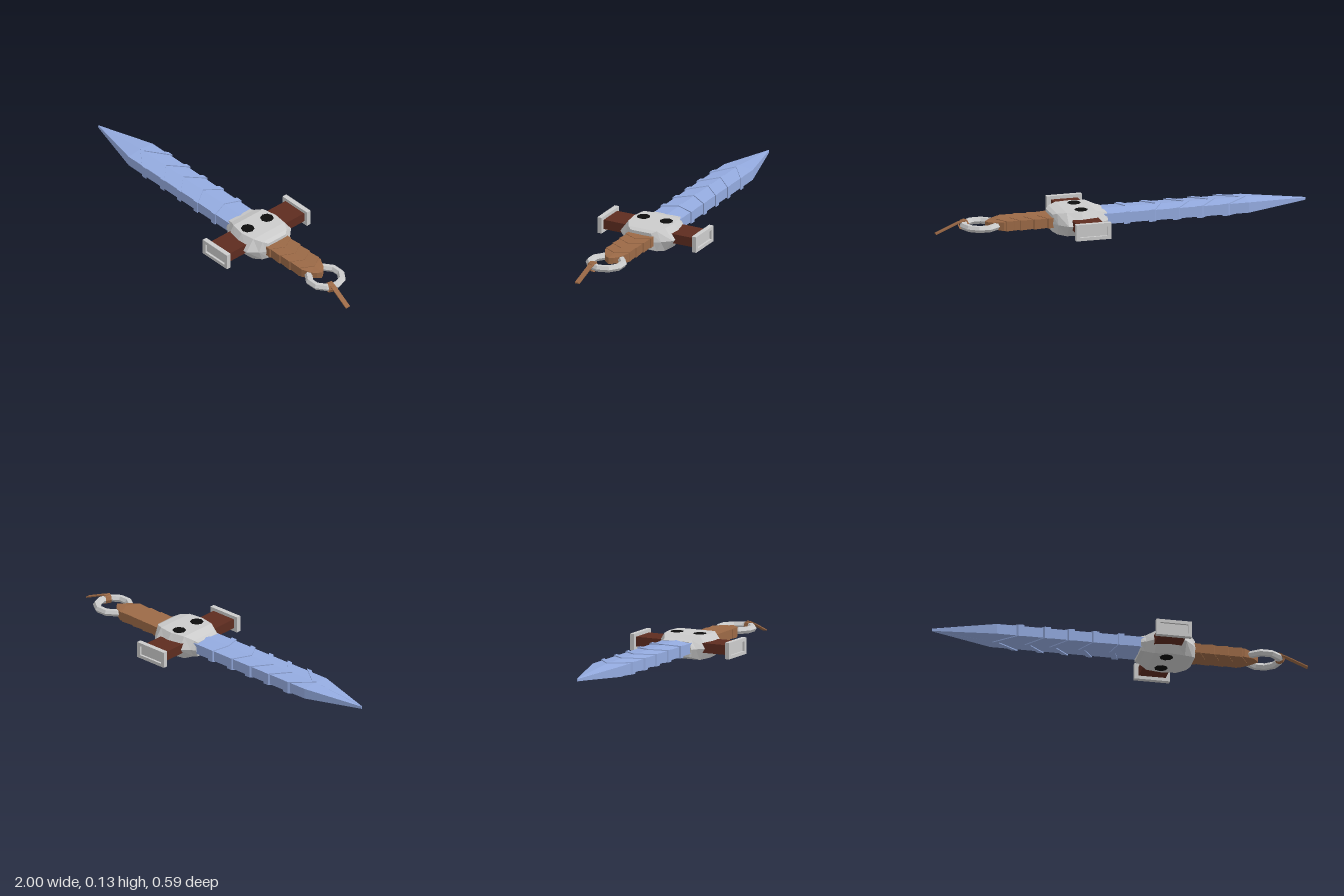
import * as THREE from 'three';

const mat = (color) => new THREE.MeshStandardMaterial({ color, flatShading: true, side: THREE.DoubleSide });
const grey = mat(0xcccccc), blue = mat(0x94abe0), leather = mat(0x9b6946), darkWood = mat(0x5e2c20), black = mat(0x0c0c0c);
const MID = 0.067;

function add(parent, name, geometry, material, x = 0, y = 0, z = 0) {
  const mesh = new THREE.Mesh(geometry, material);
  mesh.name = name;
  mesh.position.set(x, y, z);
  parent.add(mesh);
  return mesh;
}

// Skins a list of equal-length sections running towards +x, closing both ends
function loft(sections) {
  const n = sections[0].length, out = [];
  const tri = (a, b, c) => out.push(...a, ...b, ...c);
  const centre = (s) => s[0].map((v, k) => (v + s[n / 2][k]) / 2);
  const last = sections[sections.length - 1];
  for (let j = 0; j < n; j++) {
    const k = (j + 1) % n;
    for (let i = 0; i + 1 < sections.length; i++) {
      const a = sections[i], b = sections[i + 1];
      tri(a[j], a[k], b[k]);
      tri(a[j], b[k], b[j]);
    }
    tri(centre(sections[0]), sections[0][k], sections[0][j]);
    tri(centre(last), last[j], last[k]);
  }
  const g = new THREE.BufferGeometry();
  g.setAttribute('position', new THREE.Float32BufferAttribute(out, 3));
  g.computeVertexNormals();
  return g;
}

// Six-sided section: half width w, ridge height h, edge height e; lean moves the ridge along x
function ridged(x, w, h, e, lean = 0, y = MID, z = 0) {
  return [[0, h], [w, e], [w, -e], [0, -h], [-w, -e], [-w, e]]
    .map(([dz, dy]) => [x + lean * (1 - Math.abs(dz) / w), y + dy, z + dz]);
}

// Flat-topped section with pointed sides for the skull
function skullSection(x, w, flat, h) {
  return [[flat, h], [w, 0], [flat, -h], [-flat, -h], [-w, 0], [-flat, h]]
    .map(([z, y]) => [x, 0.0635 + y, z]);
}

function makeBlade() {
  const blade = new THREE.Group();
  blade.name = 'blade';
  add(blade, 'bladeBody', loft([
    ridged(-1, 0.002, 0.008, 0.006, 0, 0.07),
    ridged(-0.67, 0.085, 0.036, 0.028, 0, 0.07),
    ridged(0.16, 0.085, 0.036, 0.028, 0, 0.07),
  ]), blue);
  // Raised chevron bands, flatter towards the guard
  [[-0.555, 0.12], [-0.415, 0.09], [-0.285, 0.085], [-0.155, 0.06], [-0.02, 0.03]].forEach(([x, lean]) => {
    add(blade, 'bladeBand', loft([
      ridged(x, 0.093, 0.041, 0.033, -lean, 0.07),
      ridged(x + 0.032, 0.093, 0.041, 0.033, -lean, 0.07),
    ]), blue);
  });
  return blade;
}

function makeSkull() {
  const skull = new THREE.Group();
  skull.name = 'skullGuard';
  add(skull, 'skull', loft([
    skullSection(0.10, 0.092, 0.075, 0.040),
    skullSection(0.125, 0.105, 0.08, 0.046),
    skullSection(0.17, 0.145, 0.105, 0.0635),
    skullSection(0.25, 0.162, 0.12, 0.0635),
    skullSection(0.33, 0.157, 0.11, 0.0635),
    skullSection(0.375, 0.11, 0.085, 0.056),
    skullSection(0.395, 0.075, 0.06, 0.046),
  ]), grey);
  // Eye sockets on both faces
  for (const z of [-0.068, 0.068]) {
    add(skull, 'eyeSocket', new THREE.CylinderGeometry(0.036, 0.036, 0.129, 8), black, 0.24, 0.0635, z);
  }
  return skull;
}

function makeGuardArm(side) {
  const arm = new THREE.Group();
  arm.name = side > 0 ? 'frontGuardArm' : 'backGuardArm';
  add(arm, 'armBar', new THREE.BoxGeometry(0.145, 0.052, 0.19), darkWood, 0.235, MID, side * 0.18);
  // End plate with a sunken panel
  const frame = new THREE.Shape([[-0.095, -0.044], [0.095, -0.044], [0.095, 0.044], [-0.095, 0.044]]
    .map((p) => new THREE.Vector2(...p)));
  frame.holes.push(new THREE.Path([[-0.075, -0.026], [-0.075, 0.026], [0.075, 0.026], [0.075, -0.026]]
    .map((p) => new THREE.Vector2(...p))));
  const plate = new THREE.ExtrudeGeometry(frame, { depth: 0.026, bevelEnabled: false });
  plate.translate(0, 0, -0.013);
  add(arm, 'endPlate', plate, grey, 0.235, MID, side * 0.282);
  add(arm, 'endPanel', new THREE.BoxGeometry(0.152, 0.054, 0.012), grey, 0.235, MID, side * 0.277);
  return arm;
}

function makeGrip() {
  const grip = new THREE.Group();
  grip.name = 'grip';
  // Overlapping chevron wraps
  for (let i = 0; i < 4; i++) {
    const x = 0.34 + i * 0.075, w = 0.076 - i * 0.002;
    add(grip, 'gripWrap', loft([
      ridged(x, w - 0.004, 0.0245, 0.0245, 0.04),
      ridged(x + 0.08, w, 0.027, 0.027, 0.04),
    ]), leather);
  }
  // Tapered tail that holds the ring
  add(grip, 'gripTail', loft([
    ridged(0.6, 0.068, 0.024, 0.024),
    ridged(0.66, 0.068, 0.024, 0.024, 0.02),
    ridged(0.71, 0.042, 0.02, 0.018, 0.015),
    ridged(0.73, 0.022, 0.018, 0.016, 0.015),
  ]), leather);
  return grip;
}

function makePommel() {
  const pommel = new THREE.Group();
  pommel.name = 'pommel';
  const ring = new THREE.TorusGeometry(0.089, 0.021, 6, 10);
  ring.rotateX(Math.PI / 2);
  ring.scale(1, 0.9, 1);
  add(pommel, 'ring', ring, grey, 0.77, MID, 0);
  // Strap looped round the ring, with a hanging end
  const a = 0.42;
  const loop = new THREE.CylinderGeometry(0.027, 0.027, 0.032, 8, 1, true);
  loop.rotateX(Math.PI / 2);
  loop.rotateY(-a);
  add(pommel, 'strapLoop', loop, leather, 0.77 + 0.089 * Math.cos(a), MID, 0.089 * Math.sin(a));
  add(pommel, 'strapEnd', loft([
    ridged(0.84, 0.014, 0.003, 0.003, 0, 0.09, 0.032),
    ridged(0.885, 0.014, 0.003, 0.003, 0, 0.076, 0.037),
    ridged(1.0, 0.014, 0.003, 0.003, 0, 0.023, 0.048),
  ]), leather);
  return pommel;
}

export function createModel() {
  const model = new THREE.Group();
  model.name = 'sword';
  model.add(makeBlade(), makeSkull(), makeGuardArm(1), makeGuardArm(-1), makeGrip(), makePommel());
  return model;
}
